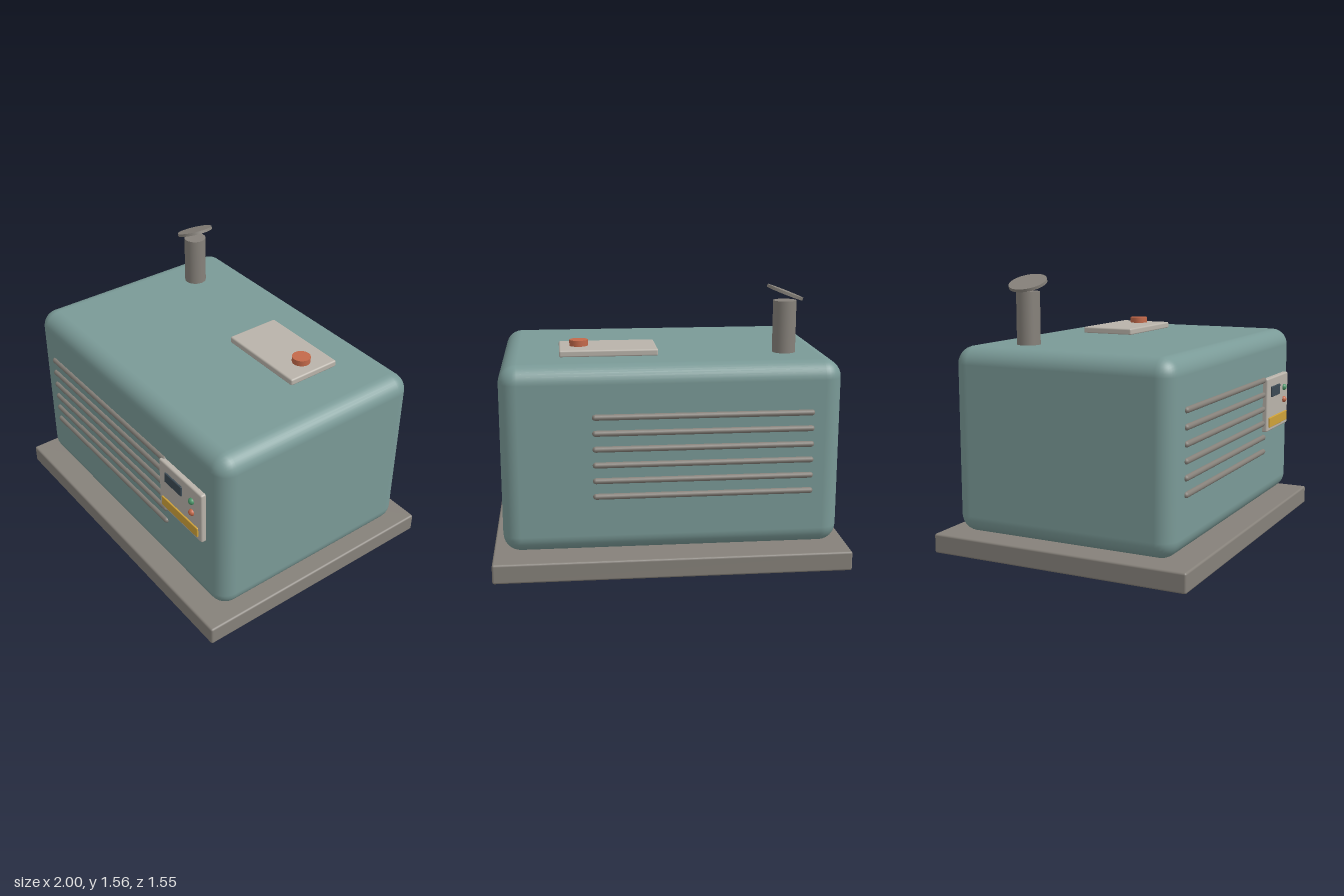
import * as THREE from 'three';
import { RoundedBoxGeometry } from 'three/addons/geometries/RoundedBoxGeometry.js';

const paint = (color) => new THREE.MeshStandardMaterial({ color });

export function createModel() {
  const group = new THREE.Group();
  const teal = paint(0x7a9a97), steel = paint(0x86817a), plate = paint(0xb9b3aa);
  const orange = paint(0xc4694a), green = paint(0x4a9468), yellow = paint(0xcfa23a), glass = paint(0x3c4a54);

  const add = (name, geometry, material, x, y, z) => {
    const mesh = new THREE.Mesh(geometry, material);
    mesh.name = name;
    mesh.position.set(x, y, z);
    group.add(mesh);
    return mesh;
  };
  // Rounded box given by its extents on each axis
  const block = (name, material, [x0, x1], [y0, y1], [z0, z1], radius, segments = 2) =>
    add(name, new RoundedBoxGeometry(x1 - x0, y1 - y0, z1 - z0, segments, radius), material,
      (x0 + x1) / 2, (y0 + y1) / 2, (z0 + z1) / 2);

  // Base slab and housing
  block('base', steel, [-1, 1], [0, 0.112], [-0.775, 0.775], 0.012);
  block('housing', teal, [-0.942, 0.942], [0.122, 1.175], [-0.667, 0.667], 0.1, 4);

  // Six vent bars on the front and on the back
  const bar = new THREE.CapsuleGeometry(0.017, 1.19, 4, 12).rotateZ(Math.PI / 2);
  for (const side of [1, -1]) {
    for (let i = 0; i < 6; i++) {
      add(side > 0 ? 'frontVentBar' : 'backVentBar', bar, steel, -0.17, 0.895 - i * 0.0893, side * 0.668);
    }
  }

  // Control panel
  block('controlPanel', plate, [0.412, 0.805], [0.573, 0.905], [0.655, 0.697], 0.01);
  block('display', glass, [0.475, 0.63], [0.785, 0.85], [0.69, 0.706], 0.004);
  block('warningStrip', yellow, [0.44, 0.775], [0.598, 0.66], [0.69, 0.706], 0.004);
  const lamp = new THREE.SphereGeometry(0.02, 16, 12);
  add('greenLamp', lamp, green, 0.72, 0.816, 0.698);
  add('redLamp', lamp, orange, 0.72, 0.738, 0.698);

  // Top hatch with filler cap
  block('hatch', plate, [0.055, 0.61], [1.172, 1.212], [-0.388, -0.06], 0.01);
  add('fillerCap', new THREE.CylinderGeometry(0.053, 0.053, 0.04, 24), orange, 0.497, 1.226, -0.224);

  // Exhaust pipe with tilted rain flap
  add('exhaustPipe', new THREE.CylinderGeometry(0.066, 0.066, 0.33, 32), steel, -0.67, 1.305, -0.333);
  const flap = add('rainFlap', new THREE.CylinderGeometry(0.108, 0.108, 0.017, 32), steel, -0.67, 1.515, -0.333);
  flap.rotation.z = 0.37;

  return group;
}
